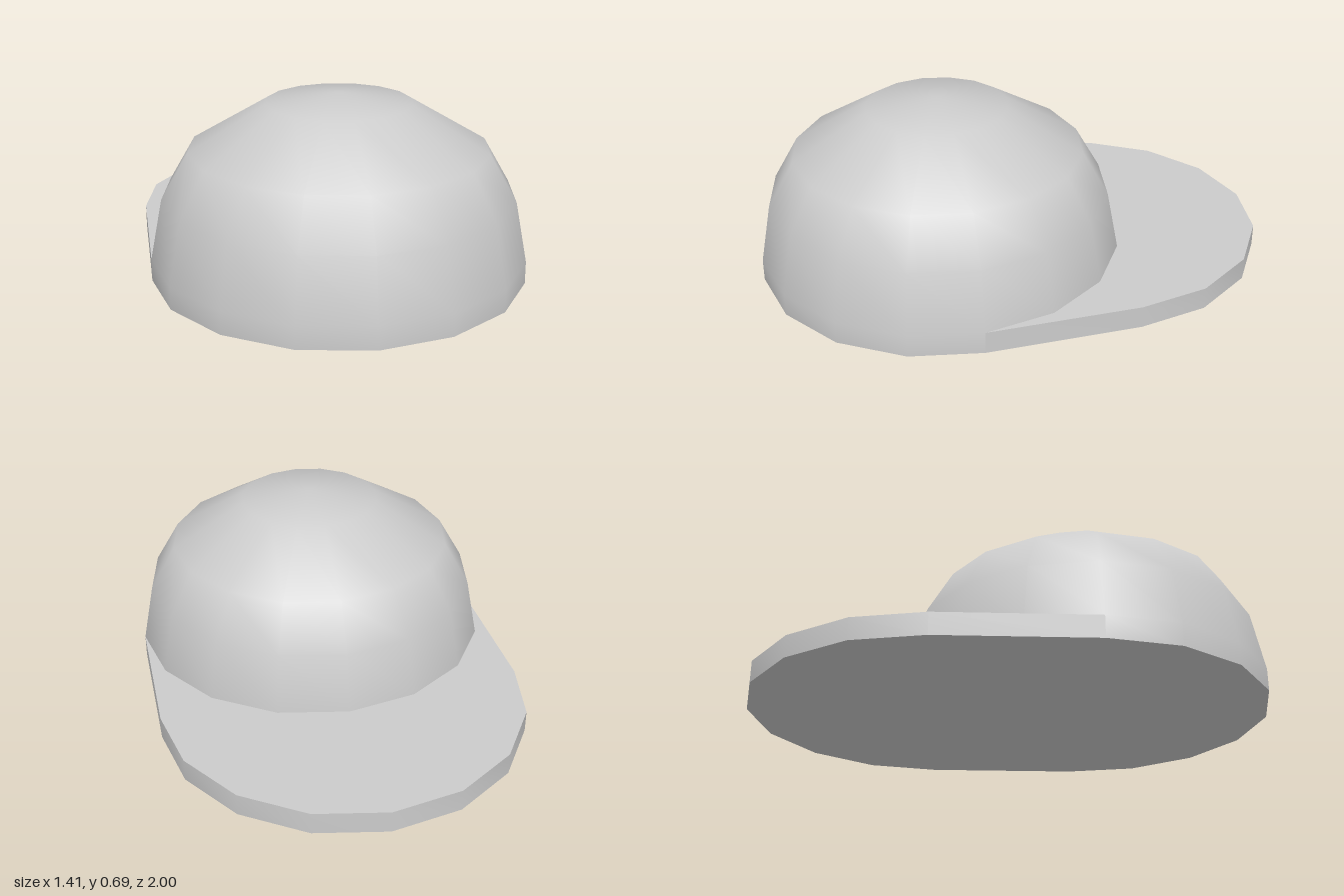
import * as THREE from 'three';
import { mergeVertices, toCreasedNormals } from 'three/addons/utils/BufferGeometryUtils.js';

const SIDES = 16, R = 0.705, OFFSET = 0.295, BRIM = 0.085;

export function createModel() {
  const group = new THREE.Group();
  const material = new THREE.MeshStandardMaterial({ color: 0xcccccc });
  const add = (name, geometry) => {
    const mesh = new THREE.Mesh(geometry, material);
    mesh.name = name;
    group.add(mesh);
    return mesh;
  };

  // Crown: low-poly dome with smooth shading
  const profile = [[R, 0], [R, BRIM], [0.66, 0.315], [0.56, 0.487], [0.274, 0.657], [0, 0.692]]
    .map(([x, y]) => new THREE.Vector2(x, y));
  let dome = new THREE.LatheGeometry(profile, SIDES);
  dome.deleteAttribute('uv');
  dome.deleteAttribute('normal');
  dome = mergeVertices(dome, 1e-4);
  dome.computeVertexNormals();
  add('crown', dome).position.z = OFFSET;

  // Underside of the crown's front half; the brim closes the other half
  const base = new THREE.CircleGeometry(R, SIDES / 2, 0, Math.PI).rotateX(Math.PI / 2);
  add('crownBase', base).position.z = OFFSET;

  // Brim: flat slab, straight sides ending in a half-round visor edge
  const outline = new THREE.Shape();
  outline.moveTo(-R, -OFFSET);
  outline.lineTo(R, -OFFSET);
  for (let i = 0; i <= SIDES / 2; i++) {
    const a = (i / SIDES) * Math.PI * 2;
    outline.lineTo(R * Math.cos(a), OFFSET + R * Math.sin(a));
  }
  outline.closePath();
  const slab = new THREE.ExtrudeGeometry(outline, { depth: BRIM, bevelEnabled: false });
  slab.rotateX(-Math.PI / 2);
  add('brim', toCreasedNormals(slab, 0.6));

  return group;
}
